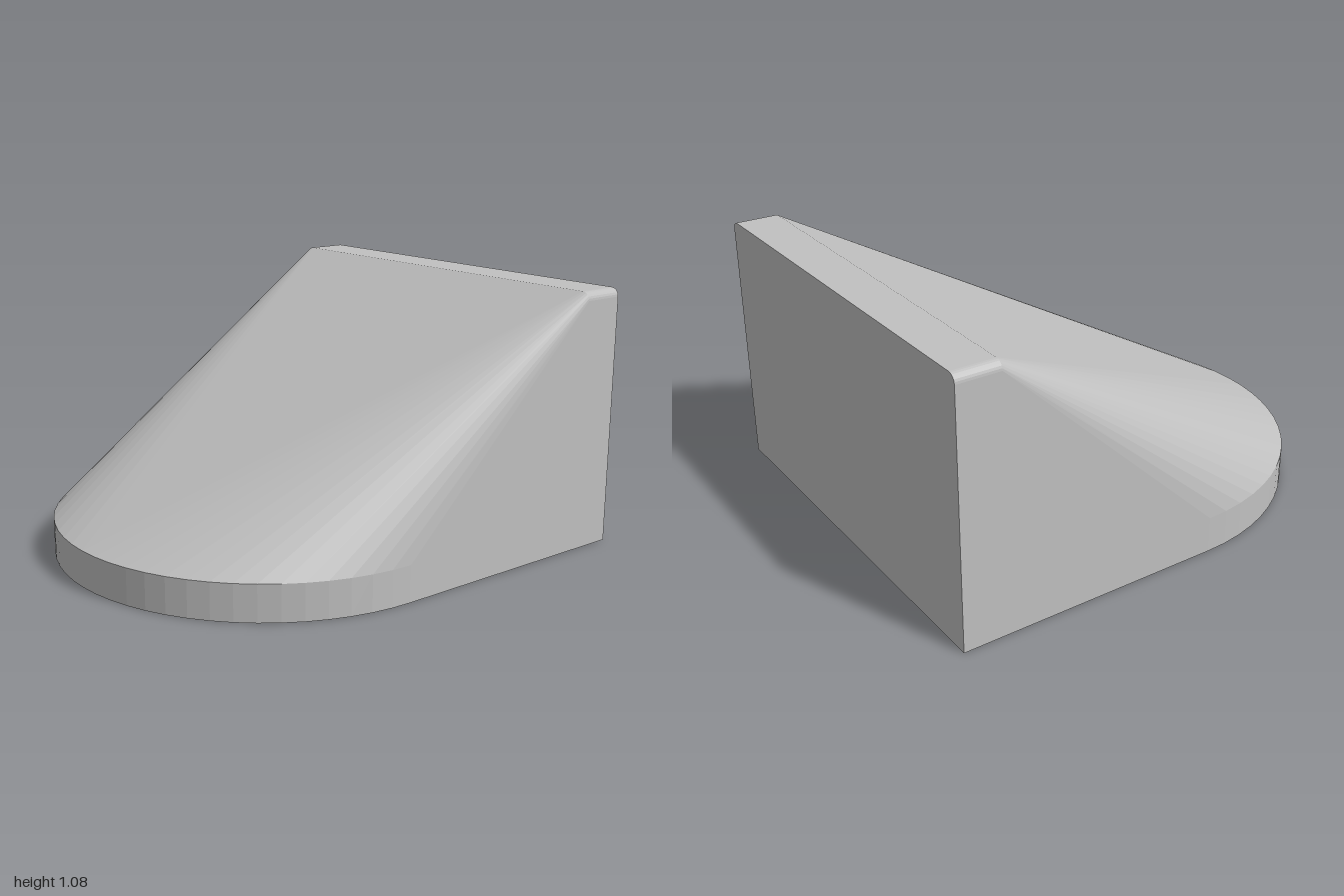
import * as THREE from 'three';
import { ConvexGeometry } from 'three/addons/geometries/ConvexGeometry.js';

const HALF_WIDTH = 0.885;
const HEIGHT = 1.075;
const RIM_HEIGHT = 0.15;
const BACK_Z = -1;
const RIDGE_Z = -0.82;
const CORNER = 0.035;

export function createModel() {
  const grey = new THREE.MeshStandardMaterial({ color: 0xc0c0c0 });
  grey.name = 'light grey';
  const points = [];

  // Rounded front rim: half disc, bottom and top edge
  const segments = 32;
  for (let i = 0; i <= segments; i++) {
    const a = (i / segments) * Math.PI;
    const x = HALF_WIDTH * Math.cos(a);
    const z = 1 - HALF_WIDTH + HALF_WIDTH * Math.sin(a);
    for (const y of [0, RIM_HEIGHT]) points.push(new THREE.Vector3(x, y, z));
  }

  // Tall back slab with rounded upper corners
  for (const side of [-1, 1]) {
    points.push(new THREE.Vector3(side * HALF_WIDTH, 0, BACK_Z));
    for (let i = 0; i <= 6; i++) {
      const a = (i / 6) * Math.PI / 2;
      const x = side * (HALF_WIDTH - CORNER + CORNER * Math.cos(a));
      const y = HEIGHT - CORNER + CORNER * Math.sin(a);
      for (const z of [BACK_Z, RIDGE_Z]) points.push(new THREE.Vector3(x, y, z));
    }
  }

  // The sloped body is stretched tightly between slab and rim
  const body = new THREE.Mesh(new ConvexGeometry(points), grey);
  body.name = 'wedgeBody';

  const group = new THREE.Group();
  group.name = 'roundedWedge';
  group.add(body);
  return group;
}
